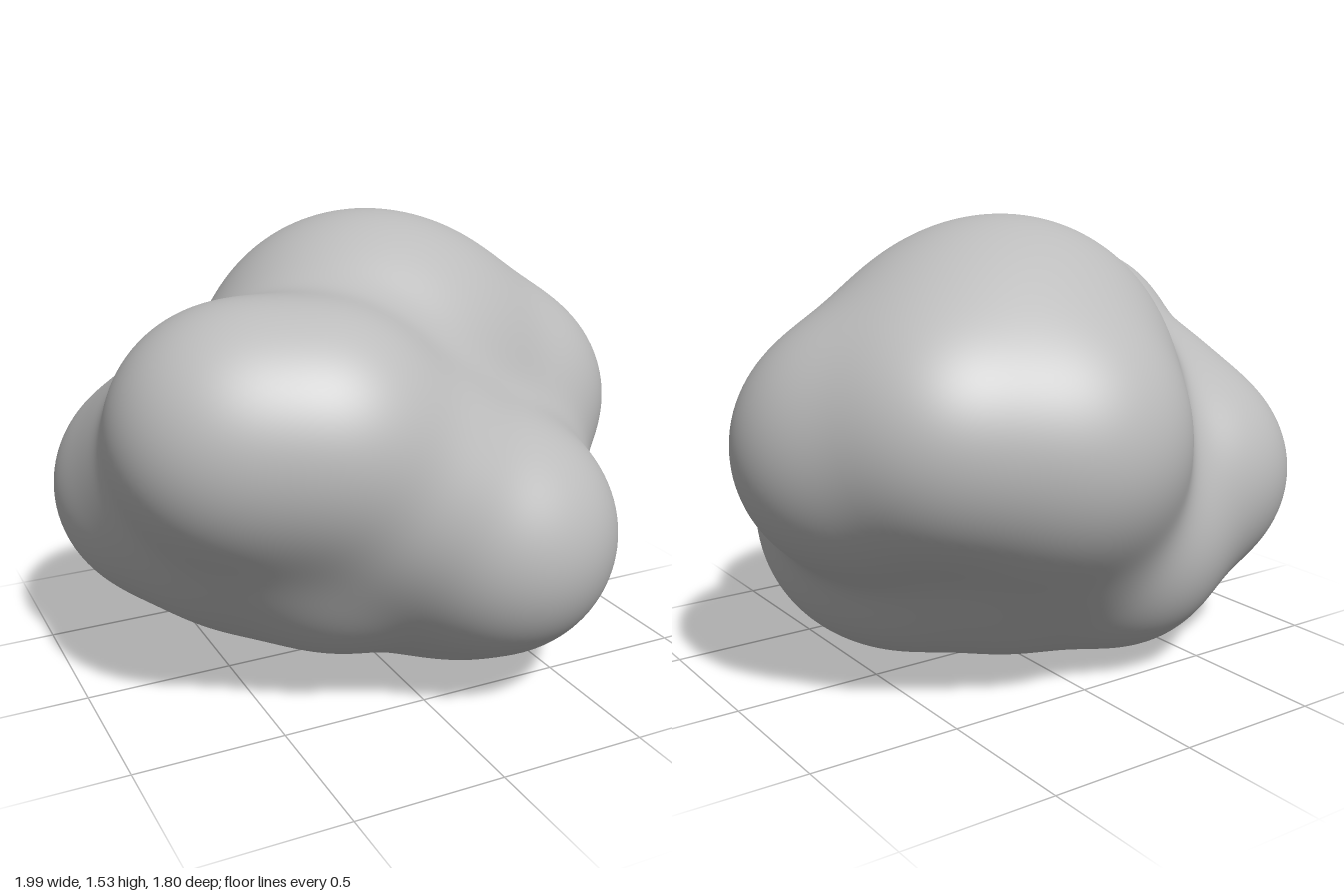
import * as THREE from 'three';
import { mergeVertices } from 'three/addons/utils/BufferGeometryUtils.js';

// Soft lobes that melt into one another: x, y, z, radius
const LOBES = [
  // big upper dome
  [0.05, 0.97, -0.12, 0.55], [0.23, 0.94, -0.15, 0.5], [0.59, 0.83, -0.09, 0.4],
  [0.46, 0.91, -0.39, 0.37], [0.13, 0.86, -0.48, 0.42],
  // upper left shoulder and its saddle to the dome
  [-0.58, 0.98, 0.34, 0.38], [-0.33, 0.97, 0.44, 0.37], [-0.25, 0.85, 0.2, 0.42],
  // ridge from the shoulder to the left back
  [-0.57, 0.78, -0.02, 0.35], [-0.61, 0.62, -0.26, 0.38],
  // ridge from the shoulder to the front foot
  [-0.05, 0.76, 0.45, 0.36], [0.25, 0.57, 0.515, 0.38],
  // shallow hollow below the shoulder
  [-0.42, 0.72, 0.18, 0.37], [-0.42, 0.57, -0.01, 0.38], [-0.18, 0.55, 0.23, 0.39],
  // bottom bar from the left back to the right front
  [-0.28, 0.43, -0.3, 0.37], [0, 0.44, -0.06, 0.41],
  [0.25, 0.43, 0.17, 0.4], [0.35, 0.45, 0.28, 0.36],
  // soft waist between the bar and the dome
  [0, 0.6, -0.37, 0.32], [0.2, 0.58, -0.15, 0.33], [0.35, 0.6, 0.15, 0.34],
];
const BLEND = 0.065;
const CORE = new THREE.Vector3(0, 0.7, 0);

// Smooth union of the lobes, negative inside
function field(p) {
  let sum = 0;
  for (const [x, y, z, r] of LOBES) {
    sum += Math.exp((r - Math.hypot(p.x - x, p.y - y, p.z - z)) / BLEND);
  }
  return -BLEND * Math.log(sum);
}

// Distance from the core to the surface along a direction
function reach(dir) {
  const p = new THREE.Vector3();
  let near = 0.1, far = 1.6;
  for (let i = 0; i < 24; i++) {
    const mid = (near + far) / 2;
    p.copy(CORE).addScaledVector(dir, mid);
    if (field(p) < 0) near = mid; else far = mid;
  }
  return near;
}

function blobGeometry() {
  const ball = new THREE.IcosahedronGeometry(1, 40);
  ball.deleteAttribute('uv');
  ball.deleteAttribute('normal');
  const geo = mergeVertices(ball, 1e-5);
  const pos = geo.attributes.position;
  const v = new THREE.Vector3();
  for (let i = 0; i < pos.count; i++) {
    v.fromBufferAttribute(pos, i).normalize();
    v.multiplyScalar(reach(v)).add(CORE);
    pos.setXYZ(i, v.x, v.y, v.z);
  }
  // rest on the ground
  geo.computeBoundingBox();
  geo.translate(0, -geo.boundingBox.min.y, 0);
  geo.computeVertexNormals();
  return geo;
}

export function createModel() {
  const group = new THREE.Group();
  group.name = 'lumpyBlob';
  const grey = new THREE.MeshStandardMaterial({ color: 0xbcbcbc });
  grey.name = 'grey';
  const body = new THREE.Mesh(blobGeometry(), grey);
  body.name = 'body';
  group.add(body);
  return group;
}
